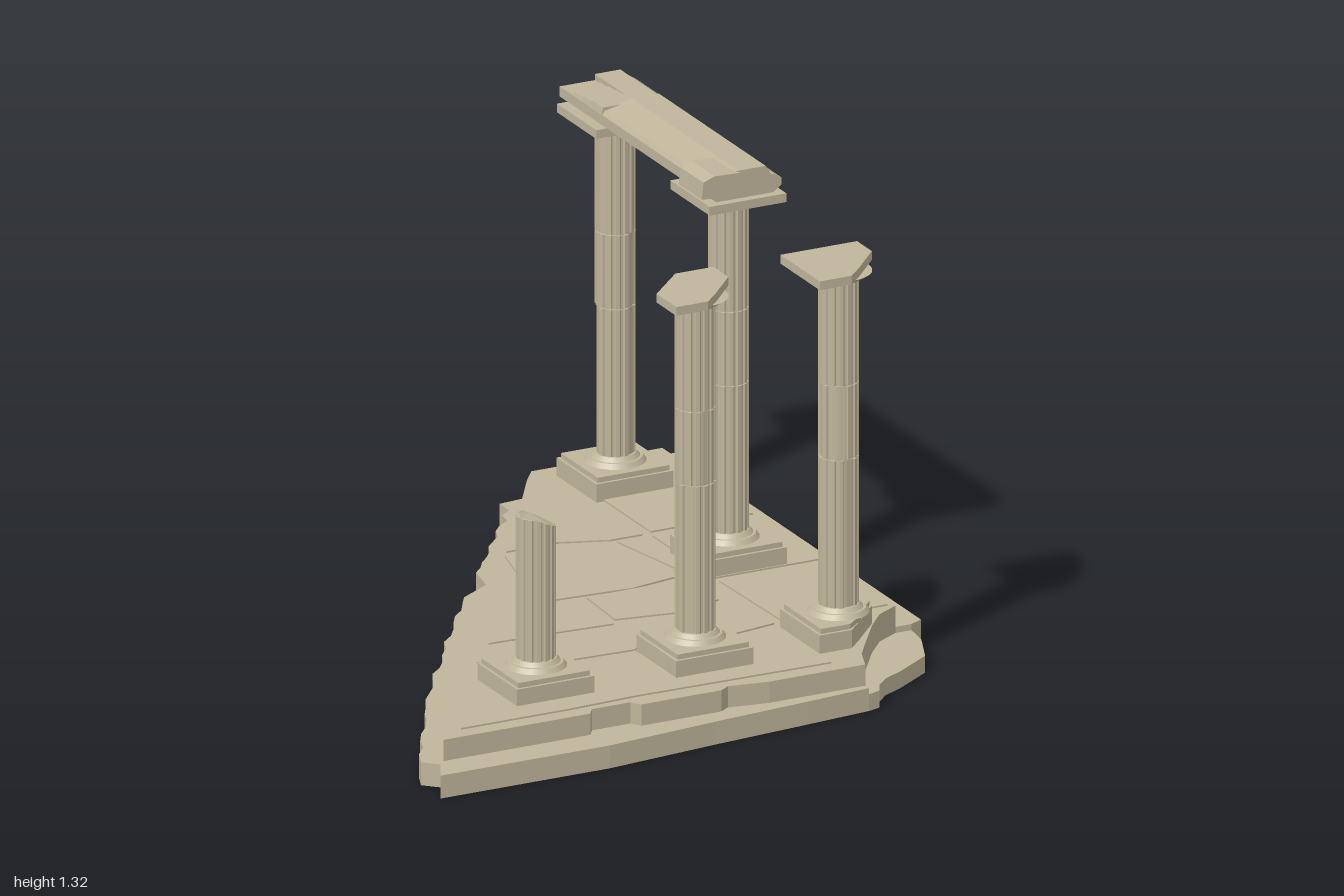
import * as THREE from 'three';

export function createModel() {
  const model = new THREE.Group();
  const stone = new THREE.MeshStandardMaterial({ color: 0xc0b69b });
  stone.name = 'weathered stone';

  let seed = 7;
  const rand = () => (seed = (seed * 16807) % 2147483647) / 2147483647;

  const add = (parent, name, geometry) => {
    const mesh = new THREE.Mesh(geometry, stone);
    mesh.name = name;
    parent.add(mesh);
    return mesh;
  };

  // Upright slab from a plan outline of [x, z] points
  const plan = (pts) => pts.map(([x, z]) => new THREE.Vector2(x, -z));
  const slab = (pts, y0, y1, hole) => {
    const shape = new THREE.Shape(plan(pts));
    if (hole) shape.holes.push(new THREE.Path(plan(hole)));
    const g = new THREE.ExtrudeGeometry(shape, { depth: y1 - y0, bevelEnabled: false });
    return g.rotateX(-Math.PI / 2).translate(0, y0, 0);
  };

  // Jagged broken edge between two plan points
  const broken = (a, b, n, amp) => {
    const out = [];
    const len = Math.hypot(b[0] - a[0], b[1] - a[1]);
    const nx = (b[1] - a[1]) / len, nz = -(b[0] - a[0]) / len;
    for (let i = 0; i < n; i++) {
      const t = i / n, d = i ? (rand() - 0.5) * amp : 0;
      out.push([a[0] + (b[0] - a[0]) * t + nx * d, a[1] + (b[1] - a[1]) * t + nz * d]);
    }
    return out;
  };

  // Fracture line across the collapsed front corner
  const fracture = [[0.5, 0.9], [0.53, 0.82], [0.57, 0.76], [0.66, 0.63], [0.72, 0.56], [0.79, 0.52]];
  const hollow = [[-0.72, 0.86], [0.47, 0.86], [0.55, 0.7], [0.76, 0.47], [0.76, -0.86], [0.42, -0.86]];

  // Lower step: a broken rim, hollow underneath
  const lower = [
    [-0.88, 1], [-0.35, 1], [0, 0.965], [0.3, 0.94], [0.5, 0.922], ...fracture, [0.84, 0.52],
    [0.88, 0.5], [0.88, 0.1], [0.84, 0.07], [0.82, 0.03], [0.85, -0.02],
    [0.88, -0.09], [0.88, -1], [0.45, -1], [0.36, -0.87], [0.26, -0.86],
    ...broken([0.26, -0.8], [-0.05, -0.4], 12, 0.025), [-0.05, -0.4], [-0.07, -0.3],
    ...broken([-0.17, -0.24], [-0.64, 0.44], 16, 0.02),
    ...broken([-0.64, 0.44], [-0.88, 0.87], 9, 0.02), [-0.88, 0.88], [-0.84, 0.92],
  ];
  add(model, 'lowerStep', slab(lower, 0, 0.068, hollow));

  // Worn, lower tread left where the corner fell away
  const worn = [
    [0.5, 0.922], [0.54, 0.91], [0.56, 0.87], [0.6, 0.83], [0.64, 0.81], [0.66, 0.8], [0.78, 0.72], [0.83, 0.6],
    [0.84, 0.52], ...[...fracture].reverse(),
  ];
  add(model, 'wornCorner', slab(worn, 0, 0.05));

  // Upper step: hollow rim under a thin deck
  const upper = [
    [-0.82, 0.9], [-0.36, 0.9], [-0.34, 0.87], [-0.22, 0.87], [-0.2, 0.9], [0.05, 0.9], [0.08, 0.88], [0.2, 0.9],
    ...fracture, [0.79, 0.1], [0.77, 0.04], [0.79, -0.06], [0.79, -0.9], [0.38, -0.9],
    ...broken([0.38, -0.9], [-0.82, 0.9], 30, 0.012).slice(1),
  ];
  add(model, 'upperStep', slab(upper, 0.068, 0.12, hollow));
  add(model, 'deck', slab(upper, 0.12, 0.131));

  // Cracked paving stones
  const paving = [
    [[0.0, -0.32], [0.18, -0.33], [0.31, -0.27], [0.37, 0.04], [0.2, 0.07], [-0.09, 0.05]],
    [[0.33, -0.28], [0.42, -0.27], [0.42, 0.06], [0.39, 0.05]],
    [[-0.23, 0.06], [0.03, 0.07], [0.02, 0.3], [-0.13, 0.29], [-0.36, 0.28]],
    [[0.05, 0.08], [0.38, 0.07], [0.37, 0.26], [0.22, 0.3], [0.04, 0.27]],
    [[-0.4, 0.31], [-0.13, 0.31], [0.02, 0.32], [0.1, 0.38], [-0.02, 0.51], [-0.24, 0.5], [-0.46, 0.4]],
    [[0.13, 0.36], [0.23, 0.32], [0.4, 0.28], [0.42, 0.5], [0.24, 0.53], [0.02, 0.5]],
    [[0.02, -0.35], [0.37, -0.87], [0.42, -0.87], [0.42, -0.3], [0.32, -0.3], [0.18, -0.35]],
    [[0.44, -0.28], [0.76, -0.28], [0.78, -0.08], [0.75, 0.04], [0.77, 0.1], [0.44, 0.1]],
    [[0.44, 0.13], [0.77, 0.13], [0.77, 0.51], [0.45, 0.51]],
    [[0.45, -0.87], [0.77, -0.87], [0.77, -0.31], [0.45, -0.31]],
    [[-0.48, 0.42], [-0.24, 0.52], [0.24, 0.55], [0.42, 0.53], [0.42, 0.85], [-0.18, 0.84], [-0.4, 0.85], [-0.74, 0.85]],
  ];
  paving.forEach((pts) => add(model, 'pavingStone', slab(pts, 0.13, 0.136)));

  // Square with optional cut front-left and back-right corners
  const square = (h, cutFront, cutBack) => {
    const pts = cutFront ? [[-h, h], [-0.02, h], [0.03, 0.07], [h, -0.03]] : [[-h, h], [h, h]];
    pts.push([h, -h]);
    return cutBack ? [...pts, [0, -h], [-h, 0]] : [...pts, [-h, -h]];
  };

  // Fluted drum; some flutes are chipped away
  const FLUTES = 14;
  const drum = (y0, y1, r) => {
    const pts = [];
    for (let i = 0; i < FLUTES; i++) {
      const chip = rand() < 0.14 ? 0.9 : 1;
      [[0, 1], [0.45, 1], [0.6, 0.92], [0.85, 0.92]].forEach(([t, k]) => {
        const a = ((i + t) / FLUTES) * Math.PI * 2, rr = r * Math.min(k, chip);
        pts.push([Math.cos(a) * rr, Math.sin(a) * rr]);
      });
    }
    return slab(pts, y0, y1);
  };

  const round = (rTop, rBottom, y0, y1) =>
    new THREE.CylinderGeometry(rTop, rBottom, y1 - y0, 20).translate(0, (y0 + y1) / 2, 0);

  const column = (name, x, z, { stump = false, baseCut = false, capFront = false, capBack = false } = {}) => {
    const g = new THREE.Group();
    g.name = name;
    g.position.set(x, 0, z);
    model.add(g);
    add(g, 'plinth', slab(square(0.121, baseCut), 0.125, 0.185));
    add(g, 'plinthStep', slab(square(0.112, baseCut), 0.185, 0.2));
    add(g, 'baseRing', round(0.078, 0.088, 0.2, 0.214));
    add(g, 'baseCollar', round(0.06, 0.07, 0.214, 0.226));
    if (stump) {
      // Snapped top sloping down to one side
      const geo = drum(0.2, 0.65, 0.056);
      const p = geo.attributes.position;
      for (let i = 0; i < p.count; i++) {
        if (p.getY(i) > 0.5) p.setY(i, 0.645 - Math.max(0, p.getX(i) + 0.02) * 0.48);
      }
      geo.computeVertexNormals();
      add(g, 'brokenShaft', geo);
      return;
    }
    // Three tall drums meeting at tight joints
    const joints = [0.2, 0.665, 0.885, 1.195];
    for (let i = 0; i < joints.length - 1; i++) {
      add(g, 'shaftDrum', drum(joints[i], joints[i + 1] - 0.003, 0.057));
    }
    add(g, 'shaftCore', round(0.05, 0.05, 0.2, 1.2));
    add(g, 'capitalNeck', round(0.095, 0.062, 1.188, 1.21));
    add(g, 'capitalPlate', slab(square(0.12, capFront, capBack), 1.21, 1.236));
  };

  column('stumpColumn', -0.4, 0.645, { stump: true });
  column('frontColumn', 0.098, 0.645, { capFront: true, capBack: true });
  column('cornerColumn', 0.547, 0.645, { baseCut: true, capFront: true });
  column('middleColumn', 0.547, -0.025);
  column('backColumn', 0.547, -0.715);

  // Weathered lintel spanning the two rear columns, profile in x and y
  const lintel = new THREE.Group();
  lintel.name = 'lintel';
  model.add(lintel);
  const beam = (name, pts, z0, z1) => {
    const shape = new THREE.Shape(pts.map(([x, y]) => new THREE.Vector2(x, y)));
    const geo = new THREE.ExtrudeGeometry(shape, { depth: z1 - z0, bevelEnabled: false });
    add(lintel, name, geo.translate(0, 0, z0));
  };
  beam('lintelBeam', [[0.46, 1.236], [0.64, 1.236], [0.665, 1.255], [0.665, 1.275], [0.64, 1.29], [0.43, 1.29], [0.43, 1.26]], -0.825, 0.07);
  beam('lintelRidge', [[0.54, 1.285], [0.635, 1.285], [0.62, 1.308], [0.54, 1.308]], -0.825, 0.06);
  beam('lintelTop', [[0.43, 1.285], [0.635, 1.285], [0.615, 1.318], [0.53, 1.318], [0.44, 1.3]], -0.58, 0.07);
  beam('lintelLip', [[0.41, 1.255], [0.5, 1.25], [0.53, 1.315], [0.45, 1.318], [0.415, 1.305]], -0.06, 0.08);
  for (let i = 0; i < 4; i++) {
    const top = 1.31 - i * 0.005, z = -0.57 - i * 0.05;
    beam('brokenLedge', [[0.43, 1.285], [0.55, 1.285], [0.54, top], [0.435, top]], z - 0.07, z);
  }

  return model;
}
